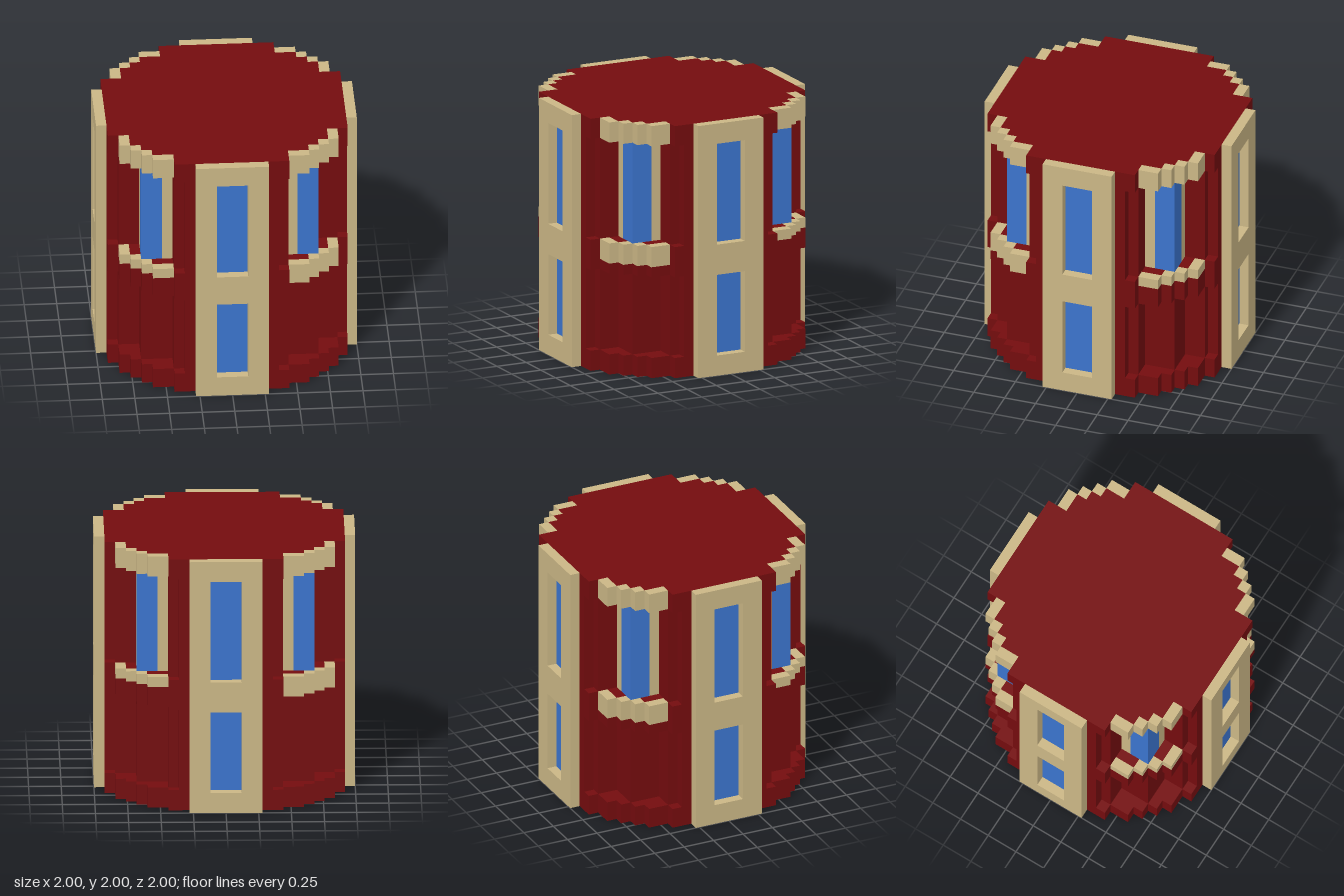
import * as THREE from 'three';

const mat = (name, color) => Object.assign(new THREE.MeshStandardMaterial({ color }), { name });

// Corner staircases, listed from the front (+z) round to the side (+x)
const OUTER = [[0.44, 0.84], [0.6, 0.84], [0.6, 0.76], [0.68, 0.76], [0.68, 0.68],
  [0.76, 0.68], [0.76, 0.6], [0.84, 0.6], [0.84, 0.44]];
const INNER = [[0.44, 0.76], [0.6, 0.76], [0.6, 0.68], [0.68, 0.68], [0.68, 0.6],
  [0.76, 0.6], [0.76, 0.44]];
const ends = (steps) => [[0.44, 0.92], ...steps, [0.92, 0.44]];
const ARMS = [[0.36, 0.92], [0.36, 0.84], [0.44, 0.84]];
const ARMS_END = [[0.84, 0.44], [0.84, 0.36], [0.92, 0.36]];
const LOWER_WALL = [...ARMS, [0.44, 0.68], [0.68, 0.68], [0.68, 0.44], ...ARMS_END];
const UPPER_WALL = [...ARMS, [0.44, 0.44], ...ARMS_END];

// Plan points are (x, z)
function prism(points, y0, y1, holes = []) {
  const shape = new THREE.Shape(points.map(([x, z]) => new THREE.Vector2(x, z)));
  shape.holes.push(...holes);
  const geo = new THREE.ExtrudeGeometry(shape, { depth: y1 - y0, bevelEnabled: false });
  return geo.rotateX(Math.PI / 2).translate(0, y1, 0);
}

// Repeats a quarter plan round all four corners
function fullPlan(q) {
  const back = [...q].reverse();
  return [...q, ...back.map(([x, z]) => [x, -z]),
    ...q.map(([x, z]) => [-x, -z]), ...back.map(([x, z]) => [-x, z])];
}

export function createModel() {
  const red = mat('dark red brick', 0x740c0e);
  const tan = mat('sandstone', 0xcab685);
  const blue = mat('blue glass', 0x3b74cd);
  const model = new THREE.Group();
  model.name = 'tower';

  const add = (parent, name, geo, material) => {
    const mesh = new THREE.Mesh(geo, material);
    mesh.name = name;
    parent.add(mesh);
  };
  const box = (x0, x1, y0, y1, z0, z1) => new THREE.BoxGeometry(x1 - x0, y1 - y0, z1 - z0)
    .translate((x0 + x1) / 2, (y0 + y1) / 2, (z0 + z1) / 2);

  // Stacked red body
  const layers = [
    ['plinth', ends(OUTER), 0, 0.16],
    ['lowerWall', LOWER_WALL, 0.16, 0.8],
    ['middleBand', ends(OUTER), 0.8, 0.88],
    ['middleBandCore', ends(INNER), 0.88, 1.04],
    ['upperWall', UPPER_WALL, 1.04, 1.84],
    ['roof', ends(INNER), 1.84, 2],
  ];
  for (const [name, plan, y0, y1] of layers) add(model, name, prism(fullPlan(plan), y0, y1), red);

  const strip = [...OUTER, ...[...INNER].reverse()];
  for (let k = 0; k < 4; k++) {
    // Pilaster with two window openings
    const side = new THREE.Group();
    side.name = 'side';
    side.rotation.y = k * Math.PI / 2;
    const face = new THREE.Shape([[-0.28, 0], [0.28, 0], [0.28, 2], [-0.28, 2]]
      .map(([x, y]) => new THREE.Vector2(x, y)));
    for (const [y0, y1] of [[0.16, 0.8], [1.04, 1.84]]) {
      face.holes.push(new THREE.Path([[-0.12, y0], [-0.12, y1], [0.12, y1], [0.12, y0]]
        .map(([x, y]) => new THREE.Vector2(x, y))));
      add(side, 'pilasterWindow', box(-0.12, 0.12, y0, y1, 0.917, 0.925), blue);
    }
    add(side, 'pilaster', new THREE.ExtrudeGeometry(face, { depth: 0.08, bevelEnabled: false })
      .translate(0, 0, 0.92), tan);

    // Corner window with frame, ledge and cornice
    const corner = new THREE.Group();
    corner.name = 'corner';
    corner.rotation.y = k * Math.PI / 2;
    add(corner, 'cornerWindow', box(0.52, 0.68, 1.04, 1.84, 0.52, 0.68), blue);
    add(corner, 'windowFrameFront', box(0.44, 0.52, 1.04, 1.84, 0.44, 0.68), tan);
    add(corner, 'windowFrameSide', box(0.52, 0.68, 1.04, 1.84, 0.44, 0.52), tan);
    add(corner, 'cornice', prism(strip, 1.84, 2), tan);
    const ledgeBase = k % 2 ? 0.96 : 0.88;
    add(corner, 'ledge', prism(strip, ledgeBase, 1.04), tan);
    if (k % 2) add(corner, 'ledgeSupport', prism(strip, 0.88, 0.96), red);
    model.add(side, corner);
  }
  return model;
}
